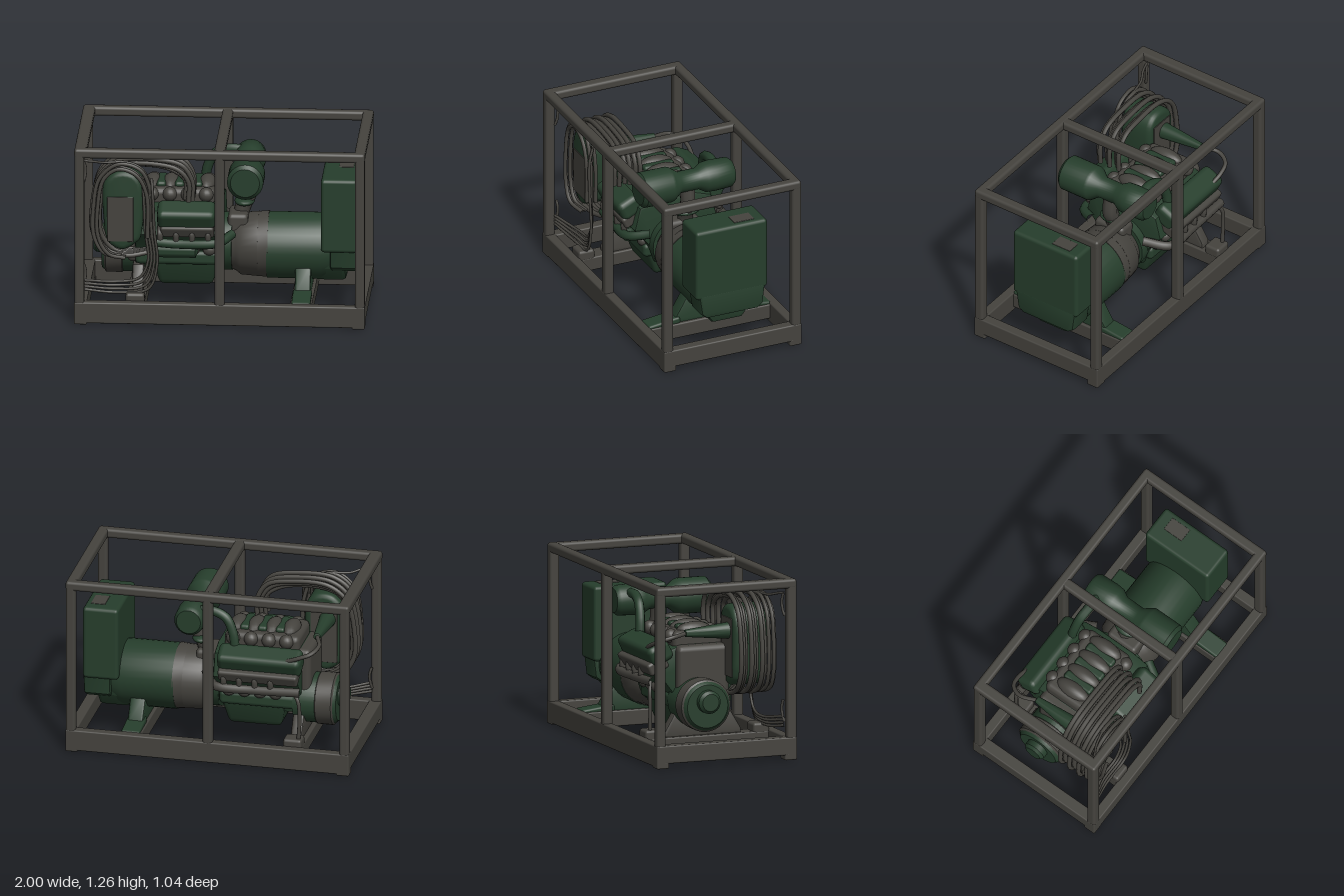
import * as THREE from 'three';
import { toCreasedNormals } from 'three/addons/utils/BufferGeometryUtils.js';
import { RoundedBoxGeometry } from 'three/addons/geometries/RoundedBoxGeometry.js';

const CZ = -0.03; // engine and generator centre line

export function createModel() {
  const root = new THREE.Group();
  const green = new THREE.MeshStandardMaterial({ color: 0x263e2c });
  green.name = 'machine green';
  const grey = new THREE.MeshStandardMaterial({ color: 0x45433e });
  grey.name = 'dark metal';

  const add = (name, geo, mat) => {
    const m = new THREE.Mesh(geo, mat);
    m.name = name;
    root.add(m);
    return m;
  };
  // Rounded box given by its limits on each axis
  const box = (name, mat, x0, x1, y0, y1, z0, z1, r = 0.01) => {
    const m = add(name, new RoundedBoxGeometry(x1 - x0, y1 - y0, z1 - z0, 2, r), mat);
    m.position.set((x0 + x1) / 2, (y0 + y1) / 2, (z0 + z1) / 2);
    return m;
  };
  // Narrows a box towards its bottom
  const taper = (mesh, kx, kz) => {
    const g = mesh.geometry, p = g.attributes.position;
    g.computeBoundingBox();
    const { min, max } = g.boundingBox;
    for (let i = 0; i < p.count; i++) {
      const t = (max.y - p.getY(i)) / (max.y - min.y);
      p.setX(i, p.getX(i) * (1 - t * kx));
      p.setZ(i, p.getZ(i) * (1 - t * kz));
    }
    mesh.geometry = toCreasedNormals(g, 0.6);
  };
  // Turned part: profile of [radius, distance] along the x or z axis
  const turned = (name, mat, axis, profile, x, y, z) => {
    let g = new THREE.LatheGeometry(profile.map(p => new THREE.Vector2(p[0], p[1])), 32);
    if (axis === 'x') g.rotateZ(-Math.PI / 2);
    if (axis === 'z') g.rotateX(Math.PI / 2);
    g = toCreasedNormals(g, 0.7);
    const m = add(name, g, mat);
    m.position.set(x, y, z);
    return m;
  };
  // Cross-section of [z, y] points swept along x
  const sweptX = (name, mat, pts, x0, x1, bevel = 0.015) => {
    const shape = new THREE.Shape(pts.map(p => new THREE.Vector2(p[0], p[1])));
    const g = new THREE.ExtrudeGeometry(shape, {
      depth: x1 - x0 - 2 * bevel, bevelThickness: bevel, bevelSize: bevel,
      bevelOffset: -bevel, bevelSegments: 2,
    });
    g.rotateY(-Math.PI / 2);
    g.translate(x1 - bevel, 0, 0);
    return add(name, toCreasedNormals(g, 0.6), mat);
  };
  const tube = (name, mat, pts, r) => add(name, new THREE.TubeGeometry(
    new THREE.CatmullRomCurve3(pts.map(p => new THREE.Vector3(...p))), 10 * pts.length, r, 8), mat);
  const blob = (name, mat, x, y, z, sx, sy, sz) => {
    const m = add(name, new THREE.SphereGeometry(1, 16, 12), mat);
    m.position.set(x, y, z);
    m.scale.set(sx, sy, sz);
    return m;
  };

  // Frame: side rails, posts and top rails
  for (const s of [-1, 1]) {
    const z0 = s > 0 ? 0.45 : -0.52, z1 = z0 + 0.07;
    box('baseSideRail', grey, -1, 1, 0.01, 0.16, z0, z1);
    box('topSideRail', grey, -1, 1, 1.195, 1.262, z0, z1, 0.02);
    for (const x of [-0.965, 0, 0.965]) box('post', grey, x - 0.034, x + 0.034, 0.14, 1.24, z0, z1, 0.02);
    const x0 = s > 0 ? 0.925 : -1, x1 = s > 0 ? 1 : -0.915;
    box('baseEndRail', grey, x0, x1, 0.035, 0.16, -0.5, 0.5);
    box('topEndRail', grey, x0, x1, 1.195, 1.262, -0.51, 0.51, 0.02);
    for (const e of [-1, 1]) {
      box('foot', grey, s * 0.955 - 0.045, s * 0.955 + 0.045, 0, 0.05, e * 0.475 - 0.045, e * 0.475 + 0.045);
    }
    box('engineBracket', grey, -0.65, -0.52, 0.13, 0.21, s * 0.4 - 0.06, s * 0.4 + 0.06, 0.02);
  }
  box('topCrossbar', grey, -0.04, 0.035, 1.195, 1.26, -0.5, 0.5, 0.02);
  box('engineCrossMember', grey, -0.65, -0.52, 0.05, 0.15, -0.48, 0.48);
  box('generatorCrossMember', grey, 0.48, 0.63, 0.04, 0.15, -0.48, 0.48);

  // Pedestals under the engine and the generator
  const pedestal = [[-0.31, 0.14], [0.26, 0.14], [0.26, 0.18], [0.17, 0.33], [-0.22, 0.33], [-0.31, 0.18]];
  sweptX('generatorPedestal', green, pedestal, 0.5, 0.61);
  box('generatorSaddle', green, 0.46, 0.66, 0.25, 0.33, -0.19, 0.13, 0.03);
  for (const s of [-1, 1]) {
    const plate = box('generatorFootPlate', green, 0.49, 0.62, 0.13, 0.18, s * 0.34 - 0.12, s * 0.34 + 0.12, 0.015);
    plate.rotation.x = s * 0.12;
  }
  sweptX('enginePedestal', grey, pedestal, -0.62, -0.54);

  // Generator barrel, coupling and control cabinet
  turned('couplingHousing', grey, 'x', [[0, 0], [0.17, 0], [0.19, 0.05], [0.215, 0.08], [0.225, 0.2], [0, 0.2]], 0.04, 0.435, CZ);
  turned('couplingBand', grey, 'x', [[0, 0], [0.222, 0], [0.23, 0.09], [0, 0.09]], 0.22, 0.435, CZ);
  turned('generatorBarrel', green, 'x', [[0, 0], [0.23, 0], [0.23, 0.37], [0.2, 0.47], [0.14, 0.58], [0, 0.6]], 0.3, 0.43, CZ);
  box('controlCabinet', green, 0.68, 0.93, 0.46, 0.985, -0.295, 0.245, 0.025);
  sweptX('cabinetBase', green, [[-0.22, 0.31], [0.16, 0.31], [0.2, 0.34], [0.225, 0.5], [-0.28, 0.5], [-0.26, 0.34]], 0.74, 0.93, 0.02);
  sweptX('barrelCradle', green, [[-0.14, 0.22], [0.08, 0.22], [0.16, 0.32], [0.17, 0.4], [-0.23, 0.4], [-0.22, 0.32]], 0.62, 0.85, 0.03);
  box('cabinetPlate', grey, 0.79, 0.89, 0.982, 0.988, -0.21, -0.06, 0.002);

  // Engine block, sump and flywheel housing
  sweptX('engineBlock', green, [[-0.18, 0.3], [0.12, 0.3], [0.18, 0.45], [0.28, 0.58], [0.24, 0.74],
    [0.12, 0.78], [-0.18, 0.78], [-0.3, 0.74], [-0.34, 0.58], [-0.24, 0.45]], -0.6, 0.0);
  taper(box('sump', green, -0.49, -0.02, 0.17, 0.4, -0.24, 0.18, 0.04), 0.22, 0.4);
  turned('flywheelHousing', green, 'x', [[0, 0], [0.2, 0], [0.2, 0.07], [0, 0.07]], -0.01, 0.45, CZ);
  box('skirt', green, -0.6, -0.02, 0.34, 0.44, -0.25, 0.2, 0.03);

  // Timing end: drum, band and crank nose
  turned('timingDrum', green, 'x', [[0, 0], [0.15, 0], [0.175, 0.03], [0.175, 0.3], [0, 0.3]], -0.84, 0.385, -0.08);
  turned('drumBand', grey, 'x', [[0.17, 0], [0.182, 0.01], [0.182, 0.12], [0.17, 0.13]], -0.82, 0.385, -0.08);
  turned('crankNose', green, 'x', [[0, 0], [0.06, 0], [0.08, 0.02], [0.08, 0.1], [0, 0.1]], -0.9, 0.42, -0.08);
  box('timingCover', grey, -0.66, -0.54, 0.34, 0.78, -0.22, 0.16, 0.04);

  // Both cylinder banks: head, cover, exhaust manifold and ports
  for (const s of [-1, 1]) {
    const zc = s > 0 ? 0.285 : -0.335;
    const xs = s > 0 ? -0.44 : -0.63;
    const cover = box('valveCover', green, xs, -0.04, 0.66, 0.805, zc - 0.085, zc + 0.085, 0.04);
    cover.rotation.x = s * 0.45;
    const head = box('cylinderHead', grey, xs + 0.02, -0.05, 0.6, 0.69, zc - 0.09, zc + 0.06, 0.02);
    head.rotation.x = s * 0.45;
    const ze = s > 0 ? 0.32 : -0.4;
    tube('exhaustManifold', s > 0 ? green : grey, [[xs, 0.54, ze], [-0.3, 0.53, ze], [-0.03, 0.54, ze], [0.07, 0.57, ze * 0.6]], 0.033);
    for (let i = 0; i < 4; i++) {
      const x = -0.42 + i * 0.11;
      tube('exhaustPort', grey, [[x, 0.65, ze * 0.82], [x, 0.61, ze], [x, 0.54, ze]], 0.022);
      blob('sidePlug', grey, x, 0.45, CZ + s * 0.215, 0.045, 0.04, 0.035);
    }
  }
  tube('drainPipe', grey, [[-0.58, 0.54, -0.4], [-0.62, 0.48, -0.42], [-0.63, 0.35, -0.42], [-0.62, 0.17, -0.42]], 0.014);
  turned('oilFilter', green, 'x', [[0, 0], [0.04, 0.01], [0.05, 0.04], [0.05, 0.3], [0, 0.32]], -0.48, 0.46, 0.24);

  // Intake manifold between the banks
  box('intakeManifold', grey, -0.58, -0.05, 0.74, 0.87, -0.22, 0.14, 0.04);
  for (let i = 0; i < 4; i++) {
    const x = -0.49 + i * 0.125;
    blob('intakeLump', grey, x, 0.86, -0.04, 0.06, 0.06, 0.13);
    for (const z of [-0.21, 0.13]) blob('intakeRunner', grey, x, 0.83, z, 0.05, 0.05, 0.05);
    if (i < 3) box('intakePlate', green, x + 0.03, x + 0.095, 0.82, 0.9, -0.15, 0.08, 0.02);
  }

  // Twin air cleaners joined by a waisted pipe
  turned('airCleaner', green, 'z', [[0, -0.37], [0.085, -0.37], [0.105, -0.345], [0.11, -0.22], [0.105, -0.16],
    [0.075, -0.11], [0.075, 0.03], [0.12, 0.09], [0.125, 0.11], [0.125, 0.31], [0.1, 0.335], [0, 0.335]], 0.165, 0.98, 0);
  tube('airCleanerStem', grey, [[0.16, 0.93, -0.04], [0.17, 0.8, -0.04], [0.13, 0.7, -0.04], [0.1, 0.58, -0.04]], 0.055);
  blob('stemFlange', green, 0.14, 0.74, -0.04, 0.07, 0.03, 0.1);
  box('stemBase', grey, 0.03, 0.17, 0.5, 0.68, -0.14, 0.1, 0.03);
  tube('intakePipe', green, [[0.14, 1.03, -0.27], [0.02, 1.04, -0.27], [-0.08, 1.0, -0.28], [-0.13, 0.9, -0.29], [-0.15, 0.78, -0.3]], 0.034);

  // Side tank with a rounded outline, panel and rear duct
  const outline = [[-0.8, 0.62], [-0.77, 0.54], [-0.68, 0.495], [-0.59, 0.54], [-0.545, 0.62], [-0.535, 0.92],
    [-0.58, 1.03], [-0.67, 1.06], [-0.76, 1.03], [-0.815, 0.92]].map(p => new THREE.Vector2(p[0], p[1]));
  const tankShape = new THREE.Shape(new THREE.SplineCurve([...outline, outline[0]]).getPoints(50).slice(0, -1));
  const tankGeo = new THREE.ExtrudeGeometry(tankShape, {
    depth: 0.17, bevelThickness: 0.04, bevelSize: 0.035, bevelOffset: -0.035, bevelSegments: 4 });
  tankGeo.translate(0, 0, 0.17);
  add('sideTank', toCreasedNormals(tankGeo, 0.7), green);
  box('tankPanel', grey, -0.78, -0.6, 0.56, 0.88, 0.377, 0.385, 0.003);
  box('tankBackPlate', grey, -0.77, -0.58, 0.56, 0.97, 0.124, 0.133, 0.003);
  turned('tankDuct', green, 'z', [[0, -0.2], [0.025, -0.19], [0.045, 0], [0.06, 0.15], [0, 0.15]], -0.7, 0.88, 0);
  tube('ductHose', grey, [[-0.7, 0.88, -0.18], [-0.74, 0.86, -0.31], [-0.7, 0.83, -0.39], [-0.62, 0.8, -0.41], [-0.52, 0.76, -0.4]], 0.015);

  // Hose bundle arching over the tank down to the engine
  for (let i = 0; i < 8; i++) {
    const z = 0.15 + i * 0.026, o = (i % 3) * 0.024;
    tube('archHose', grey, [[-0.2 - o, 0.84, z], [-0.2 - o, 0.98, z], [-0.27 - o, 1.09 - o, z], [-0.45, 1.13 - o, z],
      [-0.7, 1.12 - o, z], [-0.83 + o, 1.02, z], [-0.885 + o, 0.8, z], [-0.88 + o, 0.6, z],
      [-0.8 + o, 0.48, z], [-0.65, 0.44, z * 0.95], [-0.5, 0.45, z * 0.8]], 0.017);
  }
  // Outer hoses wrapped close around the tank
  for (let i = 0; i < 4; i++) {
    const z = 0.36 + i * 0.018, o = (i % 2) * 0.03;
    tube('outerHose', grey, [[-0.47 - o, 0.6, z], [-0.48 - o, 0.92, z], [-0.55 - o, 1.08 - o, z], [-0.7, 1.12 - o, z],
      [-0.83 + o, 1.02, z], [-0.875 + o, 0.8, z], [-0.87 + o, 0.6, z], [-0.8 + o, 0.48, z], [-0.66, 0.44, z - 0.04]], 0.014);
  }
  // Loose cables hanging in front of the tank and tied to the corner post
  for (let i = 0; i < 4; i++) {
    const o = i * 0.022, z = 0.375 + i * 0.012;
    tube('looseCable', grey, [[-0.54 + o, 1.02, z - 0.03], [-0.53 + o, 0.9, z], [-0.52 + o, 0.65, z],
      [-0.5 + o, 0.42, z], [-0.56 + o, 0.3 - o, z], [-0.72, 0.27 - o, z], [-0.94, 0.3 - o, 0.45]], 0.01);
  }
  tube('upperCable', grey, [[-0.95, 1.16, 0.45], [-0.88, 1.15, 0.43], [-0.8, 1.13, 0.39], [-0.68, 1.13, 0.36]], 0.009);
  for (const y of [0.26, 1.0]) {
    tube('postCable', grey, [[-0.94, y + 0.16, 0.44], [-0.925, y + 0.1, 0.435], [-0.93, y + 0.04, 0.44], [-0.94, y, 0.45]], 0.01);
  }
  return root;
}
